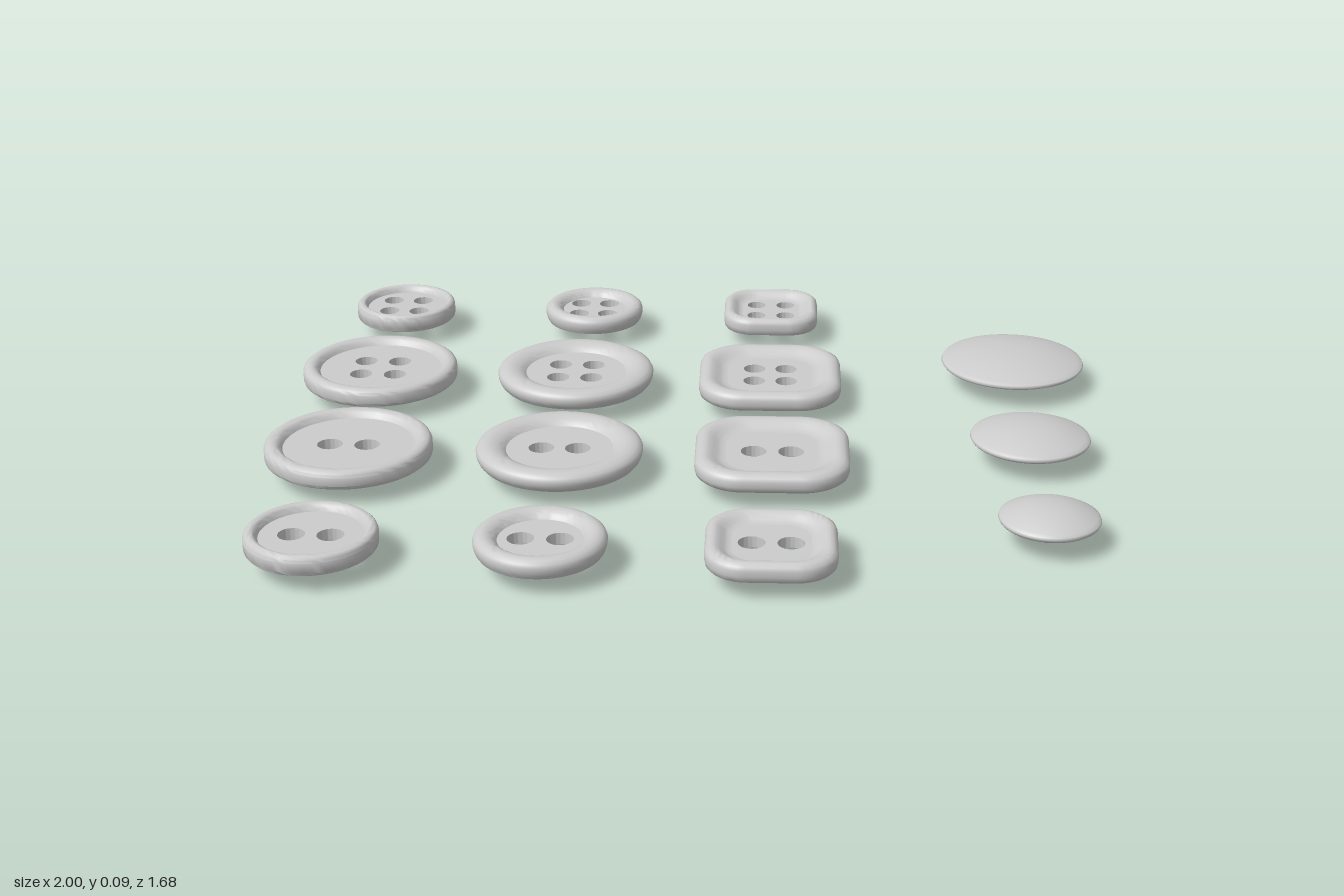
import * as THREE from 'three';
import { toCreasedNormals, mergeGeometries } from 'three/addons/utils/BufferGeometryUtils.js';

// Height of the underside of the sewn buttons.
const BASE = 0.042;

// Rim cross-sections: [fraction of the button radius, height above the underside],
// from the floor edge over the top to the underside.
const PROFILES = {
  stepped: [[0.78, 0.028], [0.8, 0.034], [0.825, 0.04], [0.86, 0.044], [0.9, 0.045], [0.95, 0.043],
    [0.985, 0.038], [1, 0.031], [1, 0.01], [0.99, 0.004], [0.965, 0]],
  dished: [[0.64, 0.027], [0.66, 0.031], [0.69, 0.036], [0.73, 0.04], [0.79, 0.044], [0.86, 0.045],
    [0.93, 0.042], [0.98, 0.036], [1, 0.028], [0.995, 0.018], [0.975, 0.008], [0.94, 0]],
  square: [[0.6, 0.026], [0.66, 0.027], [0.71, 0.031], [0.76, 0.037], [0.82, 0.043], [0.87, 0.045],
    [0.93, 0.043], [0.98, 0.037], [1, 0.029], [1, 0.015], [0.985, 0.005], [0.955, 0]],
};

// Unit outline made of four corner arcs; corner = 1 gives a circle.
function outline(corner) {
  const points = [];
  const steps = 16;
  for (let k = 0; k < 4; k++) {
    const mid = (k + 0.5) * Math.PI / 2;
    const cx = Math.sign(Math.cos(mid)) * (1 - corner);
    const cy = Math.sign(Math.sin(mid)) * (1 - corner);
    const count = corner < 1 ? steps + 1 : steps;
    for (let i = 0; i < count; i++) {
      const a = (k + i / steps) * Math.PI / 2;
      points.push(new THREE.Vector2(cx + corner * Math.cos(a), cy + corner * Math.sin(a)));
    }
  }
  return points;
}

// Sweeps a rim cross-section round the outline.
function rimGeometry(ring, profile, size) {
  const positions = [];
  const index = [];
  const n = ring.length;
  const section = [...profile, [profile[0][0], 0]];
  section.forEach(([f, y]) => ring.forEach(p => positions.push(p.x * f * size, y, p.y * f * size)));
  for (let i = 0; i < section.length - 1; i++) {
    for (let j = 0; j < n; j++) {
      const a = i * n + j;
      const b = i * n + (j + 1) % n;
      index.push(a, b, a + n, b, b + n, a + n);
    }
  }
  const geometry = new THREE.BufferGeometry();
  geometry.setAttribute('position', new THREE.Float32BufferAttribute(positions, 3));
  geometry.setIndex(index);
  return toCreasedNormals(geometry, 0.75);
}

// Pierced centre plate.
function plateGeometry(ring, [f, floor], size, holes, spread, holeRadius) {
  const shape = new THREE.Shape(ring.map(p => p.clone().multiplyScalar(f * size)));
  const rows = holes === 4 ? [-spread, spread] : [0];
  for (const x of [-spread, spread]) {
    for (const y of rows) {
      shape.holes.push(new THREE.Path().absarc(x, y, holeRadius, 0, Math.PI * 2, true));
    }
  }
  const geometry = new THREE.ExtrudeGeometry(shape, { depth: floor, bevelEnabled: false, curveSegments: 28 });
  geometry.rotateX(-Math.PI / 2);
  return toCreasedNormals(geometry, 0.75);
}

function sewnButton(style, x, z, size, holes, spread, holeRadius, material) {
  const ring = outline(style === 'square' ? 0.62 : 1);
  const profile = PROFILES[style];
  const button = new THREE.Group();
  button.name = `${style}Button${holes}Holes`;
  const rim = new THREE.Mesh(rimGeometry(ring, profile, size), material);
  rim.name = 'rim';
  const plate = new THREE.Mesh(plateGeometry(ring, profile[0], size, holes, spread, holeRadius), material);
  plate.name = 'piercedCentre';
  button.add(rim, plate);
  button.position.set(x, BASE, z);
  return button;
}

// Domed button with a loop underneath.
function shankButton(x, z, radius, material) {
  const button = new THREE.Group();
  button.name = 'shankButton';

  const edge = [[0, 0.051], [0.88, 0.051], [0.94, 0.0525], [0.98, 0.056], [1, 0.061], [0.985, 0.066]];
  for (let i = 1; i <= 14; i++) {
    const f = 0.985 * (1 - i / 14);
    edge.push([f, 0.066 + 0.029 * (1 - (f / 0.985) ** 2.2)]);
  }
  const points = edge.map(([f, y]) => new THREE.Vector2(f * radius, y));
  const dome = new THREE.Mesh(new THREE.LatheGeometry(points, 64), material);
  dome.name = 'dome';

  // The loop widens front to back where it meets the dome.
  const loop = new THREE.TorusGeometry(0.037, 0.011, 12, 28, Math.PI);
  loop.rotateZ(Math.PI);
  const stubs = [-1, 1].map(side => {
    const stub = new THREE.CylinderGeometry(0.011, 0.011, 0.008, 12, 1, true);
    stub.translate(side * 0.037, 0.004, 0);
    return stub;
  });
  const geometry = mergeGeometries([loop, ...stubs]);
  const pos = geometry.attributes.position;
  for (let i = 0; i < pos.count; i++) {
    const t = THREE.MathUtils.clamp(1 + pos.getY(i) / 0.04, 0, 1);
    pos.setZ(i, pos.getZ(i) * (1 + 0.9 * t * t));
  }
  geometry.computeVertexNormals();
  const shank = new THREE.Mesh(geometry, material);
  shank.name = 'shankLoop';
  shank.position.y = 0.048;

  button.add(dome, shank);
  button.position.set(x, 0, z);
  return button;
}

export function createModel() {
  const model = new THREE.Group();
  model.name = 'buttonSet';
  const material = new THREE.MeshStandardMaterial({ color: 0xcccccc });

  // style, x, z, half width, hole count, hole offset, hole radius
  const sewn = [
    ['stepped', -0.8, -0.708, 0.132, 4, 0.04, 0.026],
    ['stepped', -0.8, -0.262, 0.195, 4, 0.043, 0.028],
    ['stepped', -0.8, 0.216, 0.198, 2, 0.044, 0.03],
    ['stepped', -0.8, 0.694, 0.147, 2, 0.043, 0.03],
    ['dished', -0.286, -0.708, 0.131, 4, 0.038, 0.026],
    ['dished', -0.3, -0.26, 0.197, 4, 0.042, 0.028],
    ['dished', -0.3, 0.216, 0.197, 2, 0.043, 0.03],
    ['dished', -0.3, 0.694, 0.147, 2, 0.043, 0.03],
    ['square', 0.194, -0.713, 0.125, 4, 0.039, 0.024],
    ['square', 0.194, -0.254, 0.178, 4, 0.04, 0.027],
    ['square', 0.201, 0.216, 0.181, 2, 0.044, 0.03],
    ['square', 0.201, 0.694, 0.144, 2, 0.043, 0.03],
  ];
  sewn.forEach(spec => model.add(sewnButton(...spec, material)));

  // x, z, radius
  const domed = [[0.817, -0.385, 0.181], [0.817, 0.096, 0.143], [0.817, 0.535, 0.114]];
  domed.forEach(spec => model.add(shankButton(...spec, material)));

  return model;
}
